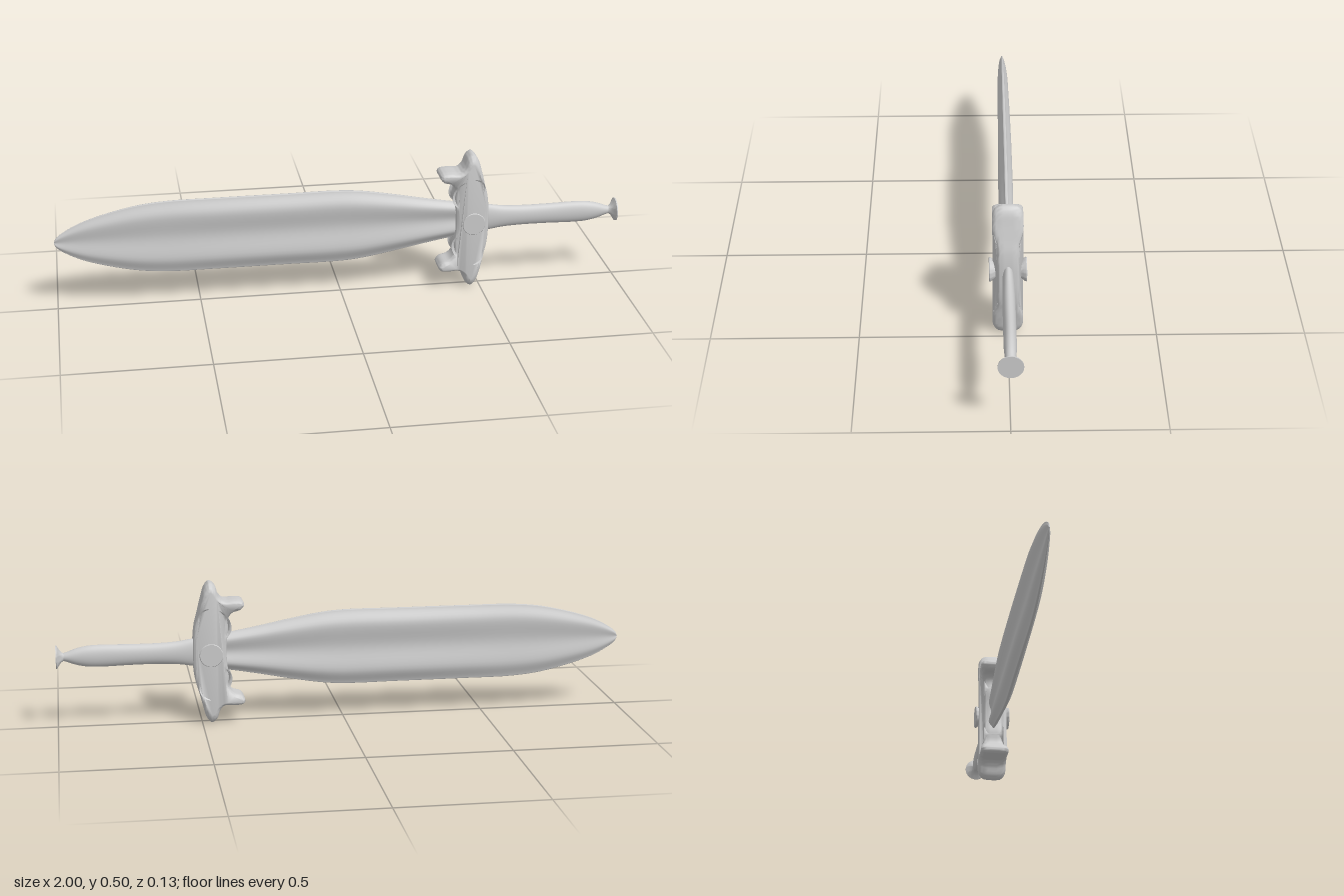
import * as THREE from 'three';
import { mergeVertices, toCreasedNormals } from 'three/addons/utils/BufferGeometryUtils.js';

const material = new THREE.MeshStandardMaterial({ color: 0xcccccc, side: THREE.DoubleSide });

function addMesh(parent, name, geometry) {
  const mesh = new THREE.Mesh(geometry, material);
  mesh.name = name;
  parent.add(mesh);
  return mesh;
}

// Skin rings along x; each station is [x, half height, half depth]
function loft(stations, section, steps, sides) {
  const rail = new THREE.CatmullRomCurve3(stations.map((s) => new THREE.Vector3(...s)), false, 'centripetal');
  const positions = [], index = [];
  rail.getPoints(steps).forEach((p, i) => {
    for (let j = 0; j < sides; j++) {
      const [y, z] = section((j / sides) * Math.PI * 2);
      positions.push(p.x, y * p.y, z * p.z);
      if (i === steps) continue;
      const a = i * sides + j, b = i * sides + ((j + 1) % sides);
      index.push(a, b, a + sides, b, b + sides, a + sides);
    }
  });
  const geometry = new THREE.BufferGeometry();
  geometry.setAttribute('position', new THREE.Float32BufferAttribute(positions, 3));
  geometry.setIndex(index);
  geometry.computeVertexNormals();
  return geometry;
}

// Blade section: bevelled edges with a shallow groove down the middle
function bladeSection(angle) {
  const y = Math.cos(angle), t = Math.abs(y);
  const groove = 0.5 + 0.5 * THREE.MathUtils.smoothstep(t, 0, 0.6);
  const bevel = 1 - 0.85 * THREE.MathUtils.smoothstep(t, 0.6, 1.05);
  return [y, Math.sign(Math.round(Math.sin(angle) * 1e6)) * groove * bevel];
}

// Pierced crossguard with a horn and a hook at each end
function guardGeometry() {
  const half = [[0.527, 0.05], [0.521, 0.1], [0.51, 0.14], [0.497, 0.19], [0.485, 0.232], [0.468, 0.251],
    [0.45, 0.24], [0.437, 0.205], [0.42, 0.188], [0.385, 0.189], [0.357, 0.185], [0.349, 0.172],
    [0.362, 0.153], [0.39, 0.143], [0.405, 0.122], [0.405, 0.08], [0.41, 0.04]];
  const outline = [[0.528, 0], ...half, [0.412, 0], ...half.map(([x, y]) => [x, -y]).reverse()];
  const curve = new THREE.CatmullRomCurve3(outline.map(([x, y]) => new THREE.Vector3(x, y, 0)), true);
  const shape = new THREE.Shape(curve.getPoints(140).slice(0, -1).map((p) => new THREE.Vector2(p.x, p.y)));
  for (const s of [1, -1]) {
    const hole = new THREE.Path();
    hole.absellipse(0.452, s * 0.107, 0.054, 0.037, 0, Math.PI * 2, false, s * 0.75);
    shape.holes.push(hole);
  }
  const bevel = 0.011;
  let geometry = new THREE.ExtrudeGeometry(shape, {
    depth: 0.044, steps: 4, bevelThickness: 0.014, bevelSize: bevel, bevelOffset: -bevel, bevelSegments: 4, curveSegments: 24,
  });
  geometry.translate(0, 0, -0.022);
  // Swell the depth toward the ends and round off their tips
  const pos = geometry.attributes.position;
  for (let i = 0; i < pos.count; i++) {
    const y = pos.getY(i), z = pos.getZ(i) / 0.036, t = Math.abs(y);
    const depth = 0.036 + 0.015 * THREE.MathUtils.smoothstep(t, 0.11, 0.175);
    const drop = 0.022 * THREE.MathUtils.smoothstep(t, 0.17, 0.25) * z ** 4;
    pos.setXYZ(i, pos.getX(i), y - Math.sign(y) * drop, z * depth);
  }
  geometry.deleteAttribute('normal');
  geometry.deleteAttribute('uv');
  geometry = mergeVertices(geometry, 1e-5);
  return toCreasedNormals(geometry, 0.9);
}

function lathe(profile) {
  return toCreasedNormals(new THREE.LatheGeometry(profile.map((p) => new THREE.Vector2(...p)), 40), 0.6);
}

export function createModel() {
  const sword = new THREE.Group();
  sword.name = 'sword';
  const body = new THREE.Group();
  body.name = 'swordBody';
  body.position.y = 0.254;
  sword.add(body);

  // Leaf-shaped blade
  addMesh(body, 'blade', loft([
    [-1, 0.001, 0.001], [-0.992, 0.018, 0.004], [-0.96, 0.042, 0.007], [-0.9, 0.072, 0.011], [-0.8, 0.103, 0.016],
    [-0.7, 0.124, 0.019], [-0.6, 0.133, 0.02], [-0.45, 0.134, 0.022], [-0.2, 0.134, 0.024], [0, 0.134, 0.024],
    [0.08, 0.127, 0.024], [0.2, 0.106, 0.022], [0.3, 0.086, 0.02], [0.4, 0.068, 0.018], [0.46, 0.058, 0.017],
  ], bladeSection, 90, 56));

  addMesh(body, 'crossguard', guardGeometry());

  // Flared round boss on both faces of the guard
  for (const side of [1, -1]) {
    const boss = addMesh(body, side > 0 ? 'frontBoss' : 'backBoss', lathe([
      [0.027, 0.03], [0.029, 0.041], [0.034, 0.049], [0.039, 0.055], [0.041, 0.06], [0.039, 0.063], [0, 0.063],
    ]));
    boss.rotation.x = side * Math.PI / 2;
    boss.position.x = 0.468;
  }

  // Oval grip, widest where it meets the guard
  addMesh(body, 'grip', loft([
    [0.5, 0.052, 0.018], [0.535, 0.048, 0.019], [0.58, 0.041, 0.02], [0.65, 0.037, 0.021], [0.75, 0.037, 0.021],
    [0.84, 0.039, 0.021], [0.89, 0.037, 0.021], [0.93, 0.029, 0.019], [0.96, 0.018, 0.016], [0.98, 0.012, 0.012],
  ], (a) => [Math.cos(a), Math.sin(a)], 50, 32));

  // Small trumpet-shaped pommel
  const pommel = addMesh(body, 'pommel', lathe([
    [0.012, 0.965], [0.014, 0.975], [0.02, 0.983], [0.03, 0.99], [0.041, 0.996], [0.041, 1], [0, 1],
  ]));
  pommel.rotation.z = -Math.PI / 2;

  return sword;
}
